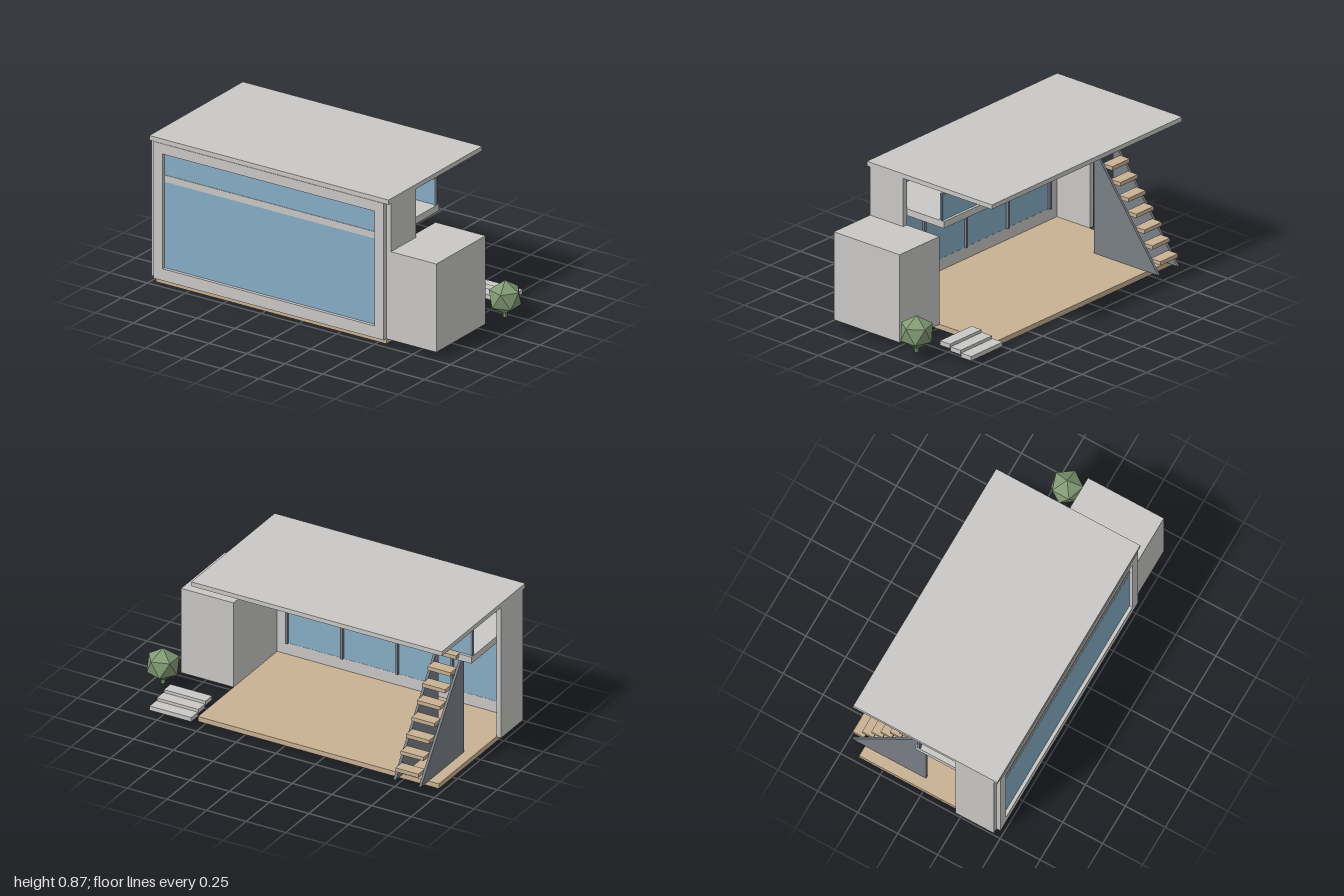
import * as THREE from 'three';

const mat = (name, color, extra = {}) => {
  const m = new THREE.MeshStandardMaterial({ color, ...extra });
  m.name = name;
  return m;
};

export function createModel() {
  const concrete = mat('concrete', 0xc9c8c6);
  const wood = mat('wood', 0xc8b193);
  const glass = mat('glass', 0x87aec6);
  const metal = mat('dark metal', 0x7a7f86);
  const leaf = mat('foliage', 0x829b75, { flatShading: true });

  const house = new THREE.Group();
  house.name = 'house';

  const add = (name, geometry, material) => {
    const mesh = new THREE.Mesh(geometry, material);
    mesh.name = name;
    house.add(mesh);
    return mesh;
  };
  // Box given by its minimum and maximum on each axis
  const box = (name, material, [x0, x1], [y0, y1], [z0, z1]) =>
    add(name, new THREE.BoxGeometry(x1 - x0, y1 - y0, z1 - z0), material)
      .position.set((x0 + x1) / 2, (y0 + y1) / 2, (z0 + z1) / 2);

  // Main volume
  const inside = [-0.97, 0.55];
  box('floor', wood, inside, [0, 0.03], [-0.4, 0.46]);
  box('roof', concrete, [-1, 0.58], [0.84, 0.867], [-0.42, 0.482]);
  box('rightWall', concrete, [-1, -0.97], [0.03, 0.84], [0.22, 0.46]);
  box('leftWall', concrete, [0.55, 0.58], [0.03, 0.84], [0.22, 0.46]);
  box('annex', concrete, [0.55, 0.88], [0.03, 0.553], [-0.015, 0.46]);
  box('mezzanine', concrete, inside, [0.61, 0.65], [-0.048, 0.468]);

  // Front frame with the window opening
  const frame = new THREE.Shape([
    new THREE.Vector2(-0.97, 0.03), new THREE.Vector2(0.55, 0.03),
    new THREE.Vector2(0.55, 0.84), new THREE.Vector2(-0.97, 0.84)]);
  frame.holes.push(new THREE.Path([
    new THREE.Vector2(-0.91, 0.1), new THREE.Vector2(-0.91, 0.78),
    new THREE.Vector2(0.49, 0.78), new THREE.Vector2(0.49, 0.1)]));
  add('frontFrame', new THREE.ExtrudeGeometry(frame, { depth: 0.027, bevelEnabled: false }), concrete)
    .position.z = 0.458;
  box('frontGlass', glass, [-0.91, 0.49], [0.1, 0.78], [0.459, 0.465]);
  for (let i = 0; i <= 4; i++) {
    const x = -0.905 + i * 0.3475;
    box('windowMullion', metal, [x - 0.007, x + 0.007], [0.1, 0.78], [0.444, 0.459]);
  }

  // Glass balustrade along the mezzanine edge
  box('railingGlass', glass, inside, [0.65, 0.797], [-0.032, -0.024]);
  box('handrail', metal, inside, [0.797, 0.81], [-0.035, -0.018]);
  for (let i = 0; i <= 3; i++) {
    const x = -0.963 + i * 0.502;
    box('railingPost', metal, [x - 0.006, x + 0.006], [0.65, 0.8], [-0.035, -0.018]);
  }

  // Staircase: two triangular side plates, eight treads between them
  const side = new THREE.Shape([
    new THREE.Vector2(0.018, 0.03), new THREE.Vector2(0.481, 0.03),
    new THREE.Vector2(0.048, 0.61), new THREE.Vector2(0.018, 0.61)]);
  for (const x of [-0.905, -0.745]) {
    const plate = add('stairSide', new THREE.ExtrudeGeometry(side, { depth: 0.015, bevelEnabled: false }), metal);
    plate.rotation.y = Math.PI / 2;
    plate.position.x = x;
  }
  for (let i = 0; i < 8; i++) {
    const y = 0.085 + i * 0.0775, z = -0.485 + i * 0.058;
    box('stairTread', wood, [-0.89, -0.745], [y, y + 0.023], [z, z + 0.07]);
  }

  // Entrance steps
  for (let i = 0; i < 3; i++) {
    const y = 0.031 + i * 0.0145, z = -0.472 + i * 0.077;
    box('entranceStep', concrete, [0.55, 0.812], [y, y + 0.026], [z, z + 0.072]);
  }

  // Bush: icosahedron standing on a vertex, on a short stem
  const crown = new THREE.IcosahedronGeometry(0.1, 0);
  crown.rotateX(-Math.atan((1 + Math.sqrt(5)) / 2)).rotateY(Math.PI / 2);
  add('bushCrown', crown, leaf).position.set(0.908, 0.145, -0.162);
  add('bushStem', new THREE.CylinderGeometry(0.015, 0.015, 0.05, 8), leaf).position.set(0.908, 0.055, -0.162);

  return house;
}
